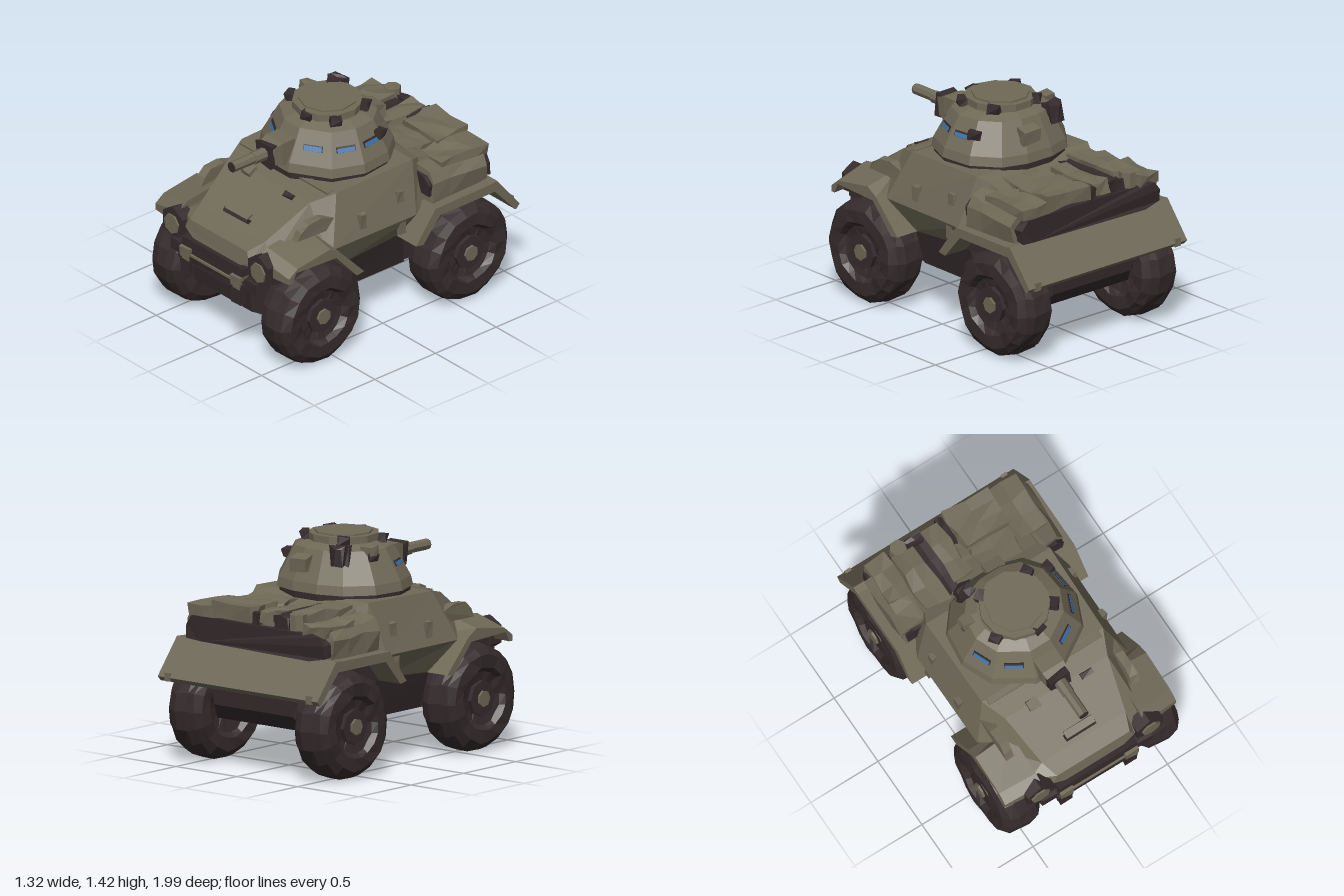
import * as THREE from 'three';

const paint = (name, color) => Object.assign(new THREE.MeshStandardMaterial({ color }), { name });

// Repeatable noise from a position
const hash = (x, y, z, k) => {
  const s = Math.sin(Math.round(x * 500) * 1.27 + Math.round(y * 500) * 3.11 + Math.round(z * 500) * 2.43 + k * 7.7) * 437.58;
  return s - Math.floor(s) - 0.5;
};

// Facet a geometry, first nudging each vertex by up to amt
function faceted(geo, amt = 0) {
  const g = geo.index ? geo.toNonIndexed() : geo;
  const p = g.attributes.position;
  if (amt) for (let i = 0; i < p.count; i++) {
    const [x, y, z] = [p.getX(i), p.getY(i), p.getZ(i)];
    p.setXYZ(i, x + amt * hash(x, y, z, 1), y + amt * hash(x, y, z, 2), z + amt * hash(x, y, z, 3));
  }
  g.computeVertexNormals();
  return g;
}

// Skin mirrored half sections [x, y, z], closed at both ends
function loft(halves, rough = 0) {
  const loops = halves.map(h => [...h, ...h.map(([x, y, z]) => [-x, y, z]).reverse()]);
  const n = loops[0].length, idx = [];
  for (let i = 0; i < loops.length - 1; i++) for (let j = 0; j < n; j++) {
    const k = (j + 1) % n, a = i * n + j, b = i * n + k, c = b + n, d = a + n;
    idx.push(a, d, c, a, c, b);
  }
  const last = (loops.length - 1) * n;
  for (let j = 1; j < n - 1; j++) idx.push(0, j, j + 1, last, last + j + 1, last + j);
  const g = new THREE.BufferGeometry();
  g.setAttribute('position', new THREE.Float32BufferAttribute(loops.flat(2), 3));
  g.setIndex(idx);
  return faceted(g, rough);
}

// Side profile [z, y] extruded across x
function across(profile, x0, x1) {
  const shape = new THREE.Shape(profile.map(([z, y]) => new THREE.Vector2(z, y)));
  const g = new THREE.ExtrudeGeometry(shape, { depth: x1 - x0, bevelEnabled: false });
  return g.rotateY(-Math.PI / 2).translate(x1, 0, 0);
}

export function createModel() {
  const olive = paint('olive paint', 0x6f6957);
  const dark = paint('dark rubber and metal', 0x352b2c);
  const blue = paint('blue glass', 0x3a72ac);
  const model = new THREE.Group();
  model.name = 'armouredCar';

  const add = (name, geo, mat, x = 0, y = 0, z = 0, parent = model) => {
    const m = new THREE.Mesh(geo, mat);
    m.name = name;
    m.position.set(x, y, z);
    parent.add(m);
    return m;
  };
  const box = (name, mat, [w, h, d], [x, y, z], rx = 0, rough = 0.012) => {
    const m = add(name, faceted(new THREE.BoxGeometry(w, h, d), rough), mat, x, y, z);
    m.rotation.x = rx;
    return m;
  };
  const lump = (name, mat, [w, h, d], [x, y, z], rough = 0.03) =>
    add(name, faceted(new THREE.BoxGeometry(w, h, d, 2, 1, 3), rough), mat, x, y, z);
  const rod = (name, mat, r, len, sides, pos, axis) => {
    const g = new THREE.CylinderGeometry(r, r, len, sides);
    if (axis === 'x') g.rotateZ(Math.PI / 2);
    if (axis === 'z') g.rotateX(Math.PI / 2);
    return add(name, faceted(g), mat, ...pos);
  };

  // Hull: olive upper body with a sloped front, dark tub beneath
  add('upperHull', loft([
    [[0.22, 0.66, 0.94], [0.30, 0.70, 0.93], [0.27, 0.765, 0.92]],
    [[0.34, 0.60, 0.86], [0.42, 0.75, 0.84], [0.31, 0.81, 0.81]],
    [[0.46, 0.54, 0.32], [0.53, 0.74, 0.50], [0.38, 1.005, 0.50]],
    [[0.47, 0.54, 0.29], [0.56, 0.73, 0.46], [0.45, 1.045, 0.34]],
    [[0.47, 0.57, -0.15], [0.565, 0.73, -0.22], [0.46, 1.06, -0.28]],
    [[0.38, 0.58, -0.36], [0.50, 0.78, -0.36], [0.42, 1.03, -0.36]],
    [[0.38, 0.58, -0.78], [0.50, 0.78, -0.78], [0.42, 0.93, -0.78]],
  ]), olive);
  add('lowerHull', loft([
    [[0.27, 0.32, 0.88], [0.30, 0.66, 0.93]],
    [[0.37, 0.30, 0.80], [0.38, 0.64, 0.86]],
    [[0.37, 0.30, -0.76], [0.38, 0.64, -0.80]],
    [[0.32, 0.40, -0.84], [0.36, 0.68, -0.86]],
  ]), dark);
  add('sill', loft([
    [[0.40, 0.31, 0.28], [0.46, 0.55, 0.30]],
    [[0.40, 0.31, -0.26], [0.46, 0.58, -0.20]],
  ]), dark);

  // Nose details
  box('noseGrille', dark, [0.58, 0.11, 0.06], [0, 0.605, 0.945]);
  box('bumperBar', dark, [0.60, 0.05, 0.06], [0, 0.535, 0.955]);
  box('bumperStrip', olive, [0.42, 0.014, 0.05], [0, 0.563, 0.962], 0, 0);
  box('visionSlot', dark, [0.22, 0.04, 0.03], [0, 0.85, 0.765], 0.95, 0.004);
  box('visionSlotLid', olive, [0.21, 0.014, 0.05], [0, 0.878, 0.755], 0.5, 0.004);
  box('frontPlateLip', olive, [0.84, 0.03, 0.05], [0, 1.035, 0.36], 0.2);
  box('hatchHinge', olive, [0.08, 0.05, 0.07], [-0.18, 1.0, 0.51], 0.4);
  box('hatchLatch', dark, [0.09, 0.03, 0.04], [0.21, 0.99, 0.52], 0.5);

  // Fenders, wheel wells, lamps, brackets and side fittings on both sides
  const frontFender = [[0.92, 0.67], [0.92, 0.77], [0.85, 0.82], [0.55, 0.86], [0.47, 0.75], [0.27, 0.54],
    [0.33, 0.53], [0.50, 0.72], [0.86, 0.735], [0.89, 0.67]];
  const frontWell = [[0.90, 0.60], [0.885, 0.74], [0.52, 0.74], [0.30, 0.54]];
  const rearFender = [[-0.14, 0.57], [-0.30, 0.78], [-0.81, 0.785], [-0.99, 0.56], [-0.96, 0.53],
    [-0.79, 0.72], [-0.34, 0.72], [-0.20, 0.56]];
  const rearWell = [[-0.19, 0.56], [-0.33, 0.74], [-0.80, 0.74], [-0.87, 0.62]];
  for (const s of [-1, 1]) {
    const side = s > 0 ? 'left' : 'right';
    const span = (a, b) => s > 0 ? [a, b] : [-b, -a];
    const ff = across(frontFender, ...span(0.38, 0.635)), p = ff.attributes.position;
    for (let i = 0; i < p.count; i++) if (Math.abs(p.getX(i)) > 0.6) {
      if (p.getY(i) > 0.75) p.setY(i, p.getY(i) - 0.06);
      if (p.getZ(i) > 0.84) p.setZ(i, p.getZ(i) - 0.03);
    }
    add(side + 'FrontFender', faceted(ff), olive);
    add(side + 'FrontWell', faceted(across(frontWell, ...span(0.36, 0.48))), dark);
    add(side + 'RearFender', faceted(across(rearFender, ...span(0.36, 0.655))), olive);
    add(side + 'RearWell', faceted(across(rearWell, ...span(0.36, 0.48))), dark);
    rod(side + 'LampHood', dark, 0.11, 0.10, 6, [s * 0.405, 0.69, 0.895], 'z');
    rod(side + 'Headlamp', olive, 0.068, 0.05, 7, [s * 0.41, 0.685, 0.932], 'z');
    box(side + 'TowBracket', olive, [0.09, 0.08, 0.08], [s * 0.24, 0.565, 0.955]);
    box(side + 'TowShackle', dark, [0.08, 0.13, 0.05], [s * 0.24, 0.47, 0.965]);
    box(side + 'BumperEnd', dark, [0.12, 0.08, 0.06], [s * 0.35, 0.56, 0.935]);
    box(side + 'SpringMount', dark, [0.09, 0.09, 0.12], [s * 0.22, 0.30, 0.66]);
    // Small angled pack on the front fender
    add(side + 'FenderPack', faceted(across([[0.69, 0.84], [0.66, 0.895], [0.61, 0.935], [0.50, 0.94], [0.38, 0.90], [0.40, 0.84]],
      ...span(0.435, 0.495)), 0.012), olive);
    for (const [y, z, h, x] of [[0.83, 0.20, 0.10, 0.535], [0.88, -0.12, 0.08, 0.52], [0.67, -0.12, 0.09, 0.54]])
      box(side + 'DoorHandle', olive, [0.035, h, 0.05], [s * x, y, z]);
    box(side + 'FenderLug', olive, [0.05, 0.05, 0.04], [s * 0.58, 0.56, -0.975]);
  }
  add('rearPlate', faceted(across([[-0.76, 0.785], [-0.81, 0.79], [-0.995, 0.56], [-0.965, 0.53], [-0.78, 0.74]], -0.655, 0.655)), olive);

  // Wheels: tyre, dark rim and olive hub
  const tyre = new THREE.LatheGeometry([
    [0.06, -0.08], [0.17, -0.10], [0.20, -0.135], [0.28, -0.135], [0.325, -0.10], [0.337, -0.04],
    [0.337, 0.04], [0.325, 0.10], [0.28, 0.135], [0.20, 0.135], [0.17, 0.10], [0.06, 0.08],
  ].map(([r, x]) => new THREE.Vector2(r, x)), 18).rotateZ(-Math.PI / 2);
  const tyreGeo = faceted(tyre, 0.015);
  for (const [end, z] of [['front', 0.61], ['rear', -0.605]]) {
    rod(end + 'Axle', dark, 0.07, 0.90, 8, [0, 0.345, z], 'x');
    for (const s of [-1, 1]) {
      add(end + 'Tyre', tyreGeo, dark, s * 0.517, 0.345, z);
      rod(end + 'Rim', dark, 0.115, 0.05, 8, [s * 0.61, 0.345, z], 'x');
      rod(end + 'Hub', olive, 0.053, 0.05, 7, [s * 0.625, 0.345, z], 'x');
    }
  }

  // Rear stowage: olive packs overhanging the sides, dark bin ends, covers on top
  const packs = [-0.33, -0.47, -0.62, -0.77].map((z, i) => [
    [0.46, 0.78, z], [0.585, 0.785, z], [0.605, 0.91, z], [0.56, 0.985 - 0.01 * i, z], [0.45, 1.0 - 0.01 * i, z]]);
  add('sidePacks', loft(packs, 0.022), olive);
  add('packFronts', loft([-0.31, -0.35].map(z => [
    [0.46, 0.82, z], [0.57, 0.83, z], [0.58, 0.90, z], [0.53, 0.95, z], [0.44, 0.96, z]]), 0.015), dark);
  add('stowageBin', loft([-0.74, -0.83].map(z => [
    [0.46, 0.78, z], [0.57, 0.80, z], [0.575, 0.88, z], [0.52, 0.93, z], [0.40, 0.94, z]]), 0.022), dark);
  for (const [w, h, d, x, y, z] of [
    [0.17, 0.09, 0.42, -0.325, 1.01, -0.56], [0.12, 0.08, 0.40, -0.09, 1.0, -0.62], [0.33, 0.09, 0.26, 0.19, 1.0, -0.71],
    [0.28, 0.07, 0.20, 0.18, 1.0, -0.46], [0.20, 0.07, 0.38, 0.45, 0.98, -0.63], [0.16, 0.06, 0.30, -0.48, 0.965, -0.68],
  ]) lump('coverRoll', olive, [w, h, d], [x, y, z]);
  rod('rolledCover', olive, 0.055, 0.10, 7, [-0.33, 1.0, -0.80]);
  for (const [w, x, d, z] of [[0.10, -0.20, 0.38, -0.56], [0.06, -0.01, 0.20, -0.74], [0.12, -0.21, 0.06, -0.80]])
    lump('strap', dark, [w, 0.08, d], [x, 0.985, z], 0.02);

  // Turret: faceted rings shrinking upward, front to back
  const plan = [[0.10, 0.43], [0.34, 0.28], [0.425, 0.08], [0.40, -0.14], [0.27, -0.30], [0.10, -0.355]];
  const ring = (y, k) => plan.map(([x, z]) => [x * k, y, z * k]);
  add('turretRing', loft([ring(1.09, 0.97), ring(1.03, 0.97)]), dark);
  add('turret', loft([ring(1.37, 0.55), ring(1.34, 0.73), ring(1.14, 0.98), ring(1.08, 1.01)]), olive);

  // Vision blocks on the sloped turret faces: [face, side, glass height]
  const shrink = 0.86;
  for (const [i, s, h] of [[0, -1, 0.022], [0, 1, 0.033], [1, -1, 0.028], [1, 1, 0.028], [2, 1, 0.026]]) {
    const [[x0, z0], [x1, z1]] = [plan[i], plan[i + 1]];
    const port = new THREE.Group();
    port.name = 'visionBlock';
    port.position.set(s * (x0 + x1) / 2 * shrink, 1.235, (z0 + z1) / 2 * shrink);
    port.rotation.set(-0.47, s * Math.atan2(z0 - z1, x1 - x0), 0, 'YXZ');
    model.add(port);
    add('blockSlot', new THREE.BoxGeometry(0.125, 0.040, 0.008), dark, 0, 0.004, 0.003, port);
    add('blockGlass', new THREE.BoxGeometry(0.115, h, 0.008), blue, 0, -0.015 + h / 2, 0.005, port);
  }

  // Gun with tapered mantlet
  add('mantlet', loft([
    [[0.07, 1.15, 0.53], [0.07, 1.26, 0.53]],
    [[0.08, 1.13, 0.46], [0.08, 1.285, 0.46]],
    [[0.08, 1.11, 0.36], [0.08, 1.285, 0.36]],
  ]), olive);
  box('mantletFace', dark, [0.145, 0.135, 0.06], [0, 1.205, 0.52], 0, 0.02);
  rod('gunSleeve', olive, 0.042, 0.10, 8, [0, 1.212, 0.59], 'z');
  rod('gunBarrel', olive, 0.036, 0.27, 8, [0, 1.214, 0.675], 'z');
  rod('gunBore', dark, 0.034, 0.008, 8, [0, 1.214, 0.812], 'z');

  // Cupola with hatch and periscopes
  rod('cupola', olive, 0.225, 0.07, 11, [0, 1.38, 0.02]);
  rod('cupolaHatch', olive, 0.185, 0.03, 9, [0, 1.41, 0.02]);
  for (const [x, y, z] of [[-0.22, 1.385, 0.14], [0.05, 1.385, 0.23], [0.22, 1.385, 0.14], [0.19, 1.395, -0.13],
    [-0.15, 1.395, -0.15], [-0.31, 1.30, -0.07], [0.34, 1.26, -0.12]]) {
    const m = box('periscope', dark, [0.07, 0.06, 0.05], [x, y, z], 0, 0.02);
    m.rotation.y = Math.atan2(x, z);
  }
  lump('smokeLauncher', dark, [0.10, 0.12, 0.09], [-0.20, 1.32, -0.245]);
  box('turretLug', olive, [0.07, 0.06, 0.08], [-0.30, 1.335, -0.07], 0, 0.03);
  box('turretRearBox', olive, [0.12, 0.09, 0.07], [0.06, 1.25, -0.305], 0, 0.03);
  return model;
}
